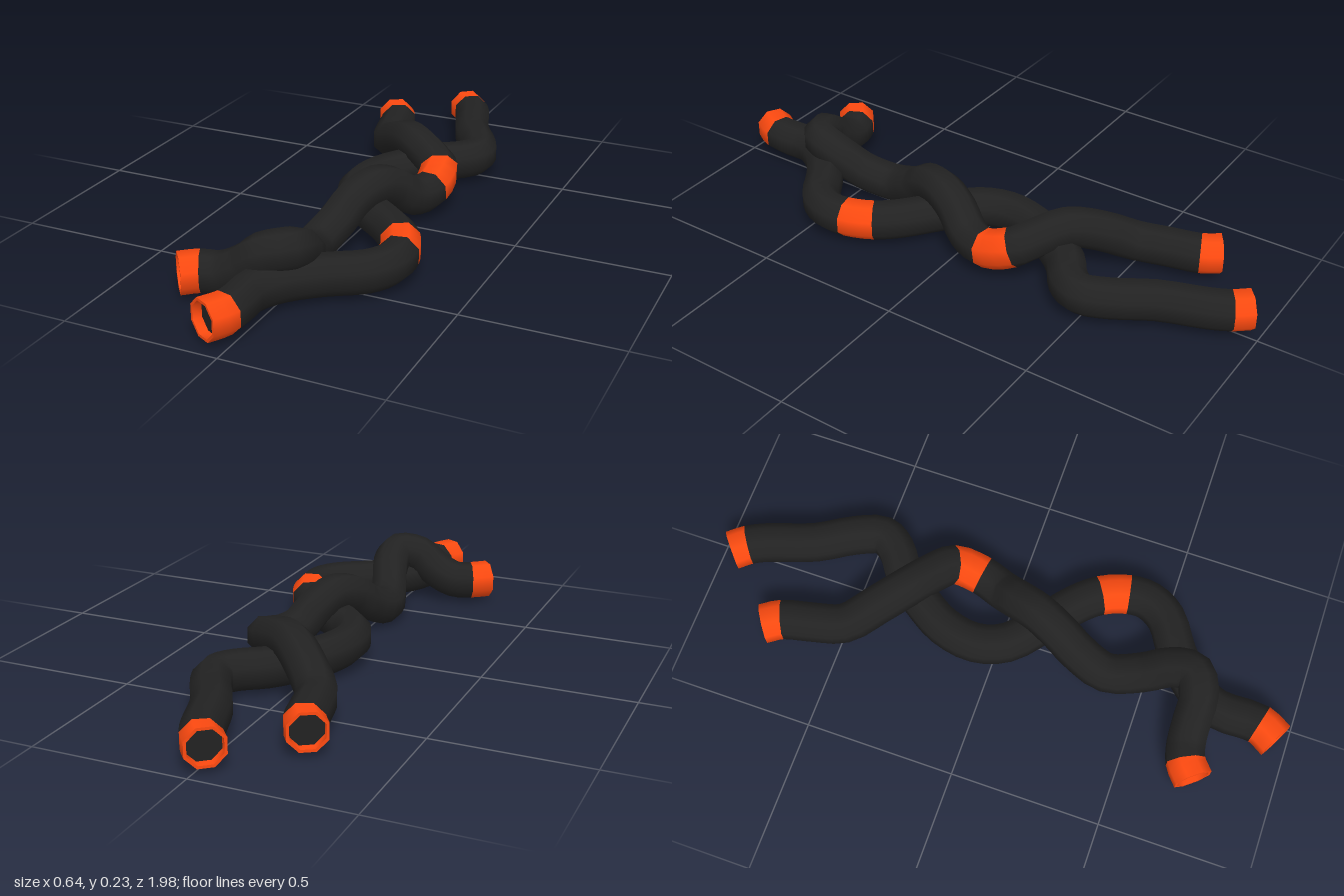
import * as THREE from 'three';

const SIDES = 8, RADIUS = 0.0655, BORE = 0.056, STEPS = 3, LEVEL = 0.0825;
const black = new THREE.MeshStandardMaterial({ color: 0x222222 });
const orange = new THREE.MeshStandardMaterial({ color: 0xff4a10 });

// Octagonal cross-section with a flat side on top, square to the curve at t
function ring(curve, t, radius, shift = 0) {
  const dir = curve.getTangent(t);
  const centre = curve.getPoint(t).addScaledVector(dir, shift);
  const side = new THREE.Vector3(0, 1, 0).cross(dir).normalize();
  const up = dir.clone().cross(side);
  const points = [], normals = [];
  for (let i = 0; i <= SIDES; i++) {
    const a = ((i + 0.5) / SIDES) * Math.PI * 2;
    const n = side.clone().multiplyScalar(Math.cos(a)).addScaledVector(up, Math.sin(a));
    normals.push(n);
    points.push(centre.clone().addScaledVector(n, radius));
  }
  return { points, normals, centre };
}

// Joins consecutive rings into a surface; smooth uses the radial normals
function skin(name, rings, material, smooth) {
  const pos = [], nor = [], idx = [], w = SIDES + 1;
  for (const r of rings) {
    for (let i = 0; i < w; i++) {
      pos.push(...r.points[i].toArray());
      nor.push(...r.normals[i].toArray());
    }
  }
  for (let j = 0; j < rings.length - 1; j++) {
    for (let i = 0; i < SIDES; i++) {
      const a = j * w + i, b = a + 1, c = a + w, d = c + 1;
      idx.push(a, b, d, a, d, c);
    }
  }
  const g = new THREE.BufferGeometry();
  g.setAttribute('position', new THREE.Float32BufferAttribute(pos, 3));
  g.setAttribute('normal', new THREE.Float32BufferAttribute(nor, 3));
  g.setIndex(idx);
  if (!smooth) g.computeVertexNormals();
  const mesh = new THREE.Mesh(g, material);
  mesh.name = name;
  return mesh;
}

// Thin rim, short bore and dark plug at one end of a hose
function opening(curve, t) {
  const group = new THREE.Group();
  group.name = 'hoseOpening';
  const inward = t === 0 ? 0.03 : -0.03;
  const outer = ring(curve, t, RADIUS), lip = ring(curve, t, BORE);
  const deep = ring(curve, t, BORE, inward), hub = ring(curve, t, 0.0001, inward);
  const order = (a, b) => (t === 0 ? [b, a] : [a, b]);
  group.add(
    skin('rim', order(outer, lip), orange, false),
    skin('bore', order(lip, deep), orange, false),
    skin('plug', order(deep, hub), black, false)
  );
  return group;
}

// band: index of the path point where the middle coloured sleeve begins
function hose(name, path, band) {
  const group = new THREE.Group();
  group.name = name;
  const curve = new THREE.CatmullRomCurve3(path.map(([x, z, y = LEVEL]) => new THREE.Vector3(x, y, z)));
  const last = path.length - 1;
  const stretch = (label, from, to, material) => {
    const rings = [];
    for (let k = from * STEPS; k <= to * STEPS; k++) rings.push(ring(curve, k / (last * STEPS), RADIUS));
    group.add(skin(label, rings, material, true));
  };
  stretch('backCollar', 0, 1, orange);
  stretch('backHose', 1, band, black);
  stretch('middleSleeve', band, band + 1, orange);
  stretch('frontHose', band + 1, last - 1, black);
  stretch('frontCollar', last - 1, last, orange);
  group.add(opening(curve, 0), opening(curve, 1));
  return group;
}

export function createModel() {
  const model = new THREE.Group();
  model.name = 'twistedHoses';

  // Path points are x, z and, where the hose leaves the ground level, y
  const upper = [
    [-0.245, -0.755], [-0.21, -0.7], [-0.185, -0.6], [-0.155, -0.5, 0.085],
    [-0.075, -0.41, 0.135], [0.01, -0.33, 0.165], [0.1, -0.265, 0.145],
    [0.148, -0.22, 0.125], [0.155, -0.125, 0.09], [0.125, -0.04, 0.095],
    [0.09, 0.03, 0.148], [0.06, 0.105, 0.175], [0.025, 0.19, 0.155],
    [0, 0.26, 0.105], [-0.025, 0.37, 0.064], [0.005, 0.48, 0.09],
    [0.035, 0.57, 0.15], [0.03, 0.64, 0.178], [-0.035, 0.675, 0.165],
    [-0.1, 0.68, 0.115], [-0.17, 0.685], [-0.23, 0.7], [-0.28, 0.74]
  ];
  const lower = [
    [-0.035, -0.955], [0.002, -0.91], [0.032, -0.85], [0.085, -0.7], [0.155, -0.58],
    [0.185, -0.49], [0.15, -0.43], [0.07, -0.37], [0, -0.28], [-0.055, -0.185],
    [-0.075, -0.07], [-0.04, 0.03], [0.06, 0.12], [0.16, 0.2], [0.22, 0.27],
    [0.255, 0.36], [0.255, 0.43], [0.215, 0.5], [0.11, 0.57], [0.02, 0.65],
    [-0.03, 0.74], [-0.035, 0.89], [-0.07, 0.955]
  ];
  model.add(hose('upperHose', upper, 7), hose('lowerHose', lower, 14));
  return model;
}
